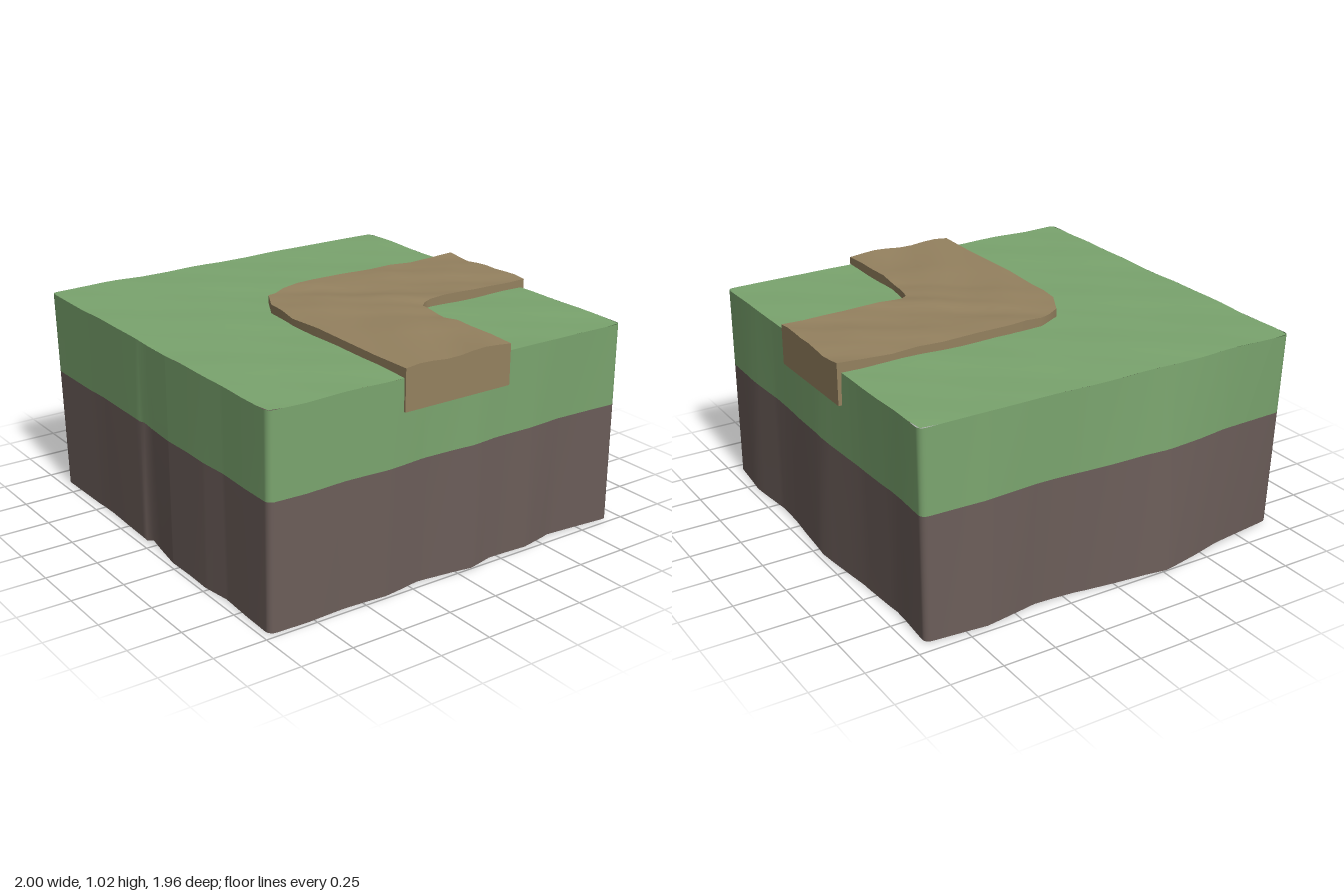
import * as THREE from 'three';

const X0 = -0.93, X1 = 0.97, Z0 = -0.94, Z1 = 0.96, R = 0.03;
const TOP = 0.972, SEAM = 0.585;

// Smooth, repeatable unevenness in -1..1
const bump = (x, z) =>
  (Math.sin(x * 9.1 + z * 4.3) + Math.sin(z * 11.7 - x * 5.9 + 1) + Math.sin(x * 17 + z * 14 + 2)) / 3;

// Surface through rows of [x, y, z] points
function loft(name, color, rows, flat = false) {
  const n = rows[0].length, index = [];
  for (let j = 0; j < rows.length - 1; j++)
    for (let i = 0; i < n - 1; i++) {
      const a = j * n + i, b = a + 1, c = a + n, d = c + 1;
      index.push(a, b, d, a, d, c);
    }
  const g = new THREE.BufferGeometry();
  g.setAttribute('position', new THREE.Float32BufferAttribute(rows.flat(2), 3));
  g.setIndex(index);
  g.computeVertexNormals();
  const mesh = new THREE.Mesh(g, new THREE.MeshStandardMaterial({ color, flatShading: flat, side: THREE.DoubleSide }));
  mesh.name = name;
  return mesh;
}

// How far the foot of each wall leans out: [fraction along the wall, offset]
const sides = [
  { n: [0, 1], from: [X0, Z1], to: [X1, Z1],
    lean: [[0, 0], [0.2, -0.008], [0.44, 0.004], [0.45, -0.02], [0.58, 0.014], [0.74, 0.018], [0.82, 0], [1, 0.012]] },
  { n: [1, 0], from: [X1, Z1], to: [X1, Z0],
    lean: [[0, 0.01], [0.19, 0.008], [0.3, 0.014], [0.4, -0.008], [0.55, 0.03], [0.62, 0], [0.73, 0.012], [0.8, -0.015], [0.82, -0.025], [1, 0]] },
  { n: [0, -1], from: [X1, Z0], to: [X0, Z0],
    lean: [[0, 0], [0.13, 0.025], [0.27, 0], [0.35, 0.005], [0.54, 0.038], [0.72, 0], [0.87, -0.015], [1, 0]] },
  { n: [-1, 0], from: [X0, Z0], to: [X0, Z1],
    lean: [[0, 0.015], [0.14, 0.04], [0.28, 0], [0.39, 0.01], [0.64, 0.07], [0.82, 0], [1, -0.05]] },
];

function leanAt(lean, t) {
  for (let i = 1; i < lean.length; i++) {
    const [t0, v0] = lean[i - 1], [t1, v1] = lean[i];
    if (t <= t1) return v0 + (v1 - v0) * (t - t0) / (t1 - t0);
  }
  return lean[lean.length - 1][1];
}

// Outline of the tile with the lean at each point
function outline() {
  const pts = [];
  sides.forEach((s, k) => {
    const prev = sides[(k + 3) % 4], next = sides[(k + 1) % 4];
    const dir = [Math.sign(s.to[0] - s.from[0]), Math.sign(s.to[1] - s.from[1])];
    const before = leanAt(prev.lean, 1), after = leanAt(next.lean, 0);
    const ts = new Set(s.lean.map(p => p[0]));
    for (let i = 0; i <= 12; i++) ts.add(i / 12);
    for (const t of [...ts].sort((a, b) => a - b)) {
      const d = R + t * (1.9 - 2 * R), o = leanAt(s.lean, t);
      const along = -before * (1 - t) + after * t;
      pts.push({ x: s.from[0] + dir[0] * d, z: s.from[1] + dir[1] * d,
        ox: s.n[0] * o + dir[0] * along, oz: s.n[1] * o + dir[1] * along });
    }
    // rounded corner
    const end = leanAt(s.lean, 1);
    for (let i = 1; i < 4; i++) {
      const a = i * Math.PI / 8, c = Math.cos(a), q = Math.sin(a);
      pts.push({ x: s.to[0] - R * (s.n[0] + dir[0]) + R * (s.n[0] * c + dir[0] * q),
        z: s.to[1] - R * (s.n[1] + dir[1]) + R * (s.n[1] * c + dir[1] * q),
        ox: s.n[0] * end + dir[0] * after, oz: s.n[1] * end + dir[1] * after });
    }
  });
  pts.push(pts[0]);
  return pts;
}

const grassY = (x, z) => TOP + 0.005 * bump(x, z);

// Path edges, outer then inner, from the back to the right side: [x, z, x, z]
const pathEdges = [
  [-0.26, -0.96, 0.295, -0.96], [-0.265, -0.7, 0.295, -0.75], [-0.27, -0.45, 0.295, -0.55],
  [-0.27, -0.1, 0.297, -0.38], [-0.25, 0.08, 0.31, -0.335], [-0.19, 0.2, 0.34, -0.3],
  [-0.06, 0.27, 0.42, -0.285], [0.15, 0.295, 0.53, -0.27], [0.55, 0.295, 0.72, -0.27],
  [0.98, 0.295, 0.98, -0.27],
];

function createPath() {
  const path = new THREE.Group();
  path.name = 'path';
  const rows = [], cols = 8;
  const addRow = ([ax, az, bx, bz]) => {
    const row = [];
    for (let i = 0; i <= cols; i++) {
      const t = i / cols, x = ax + (bx - ax) * t, z = az + (bz - az) * t;
      row.push([x, 1.013 + 0.011 * bump(x * 1.6, z * 1.4), z]);
    }
    rows.push(row);
  };
  pathEdges.forEach((e, k) => {
    addRow(e);
    const f = pathEdges[k + 1];
    if (f) addRow(e.map((v, i) => (v + f[i]) / 2));
  });
  path.add(loft('pathTop', 0x94815f, rows.map(r => [...r].reverse())));

  // Skirt that sinks through the grass and shows at both ends
  const last = rows.length - 1;
  const edges = {
    outerPathSide: rows.map(r => r[0]),
    rightPathEnd: rows[last],
    innerPathSide: rows.map(r => r[cols]).reverse(),
    backPathEnd: [...rows[0]].reverse(),
  };
  for (const [name, edge] of Object.entries(edges))
    path.add(loft(name, 0x94815f, [edge.map(([x, , z]) => [x, 0.82, z]), edge]));
  return path;
}

export function createModel() {
  const model = new THREE.Group();
  model.name = 'terrainTile';
  const ring = outline();

  // Leaning walls: soil below, turf above
  const level = (p, y, h) => {
    const k = 1 - h / TOP;
    return [p.x + p.ox * k, y, p.z + p.oz * k];
  };
  const foot = ring.map(p => level(p, 0.005 + 0.005 * bump(p.x, p.z), 0));
  const seam = ring.map(p => level(p, SEAM + 0.005 * bump(p.x, p.z), SEAM));
  const rim = ring.map(p => level(p, grassY(p.x, p.z), TOP));
  model.add(loft('soilWall', 0x6b5d59, [foot, seam]));
  model.add(loft('turfWall', 0x7aa46e, [seam, rim]));

  // Gently uneven grass, its four corners drawn in to the rounding
  const N = 20, rows = [];
  for (let j = 0; j <= N; j++) {
    const row = [];
    for (let i = 0; i <= N; i++) {
      const corner = i % N === 0 && j % N === 0 ? 0.009 : 0;
      const x = X0 + 1.9 * i / N + (i ? -corner : corner);
      const z = Z1 - 1.9 * j / N + (j ? corner : -corner);
      row.push([x, grassY(x, z), z]);
    }
    rows.push(row);
  }
  model.add(loft('grassTop', 0x7aa46e, rows));

  model.add(createPath());
  return model;
}
